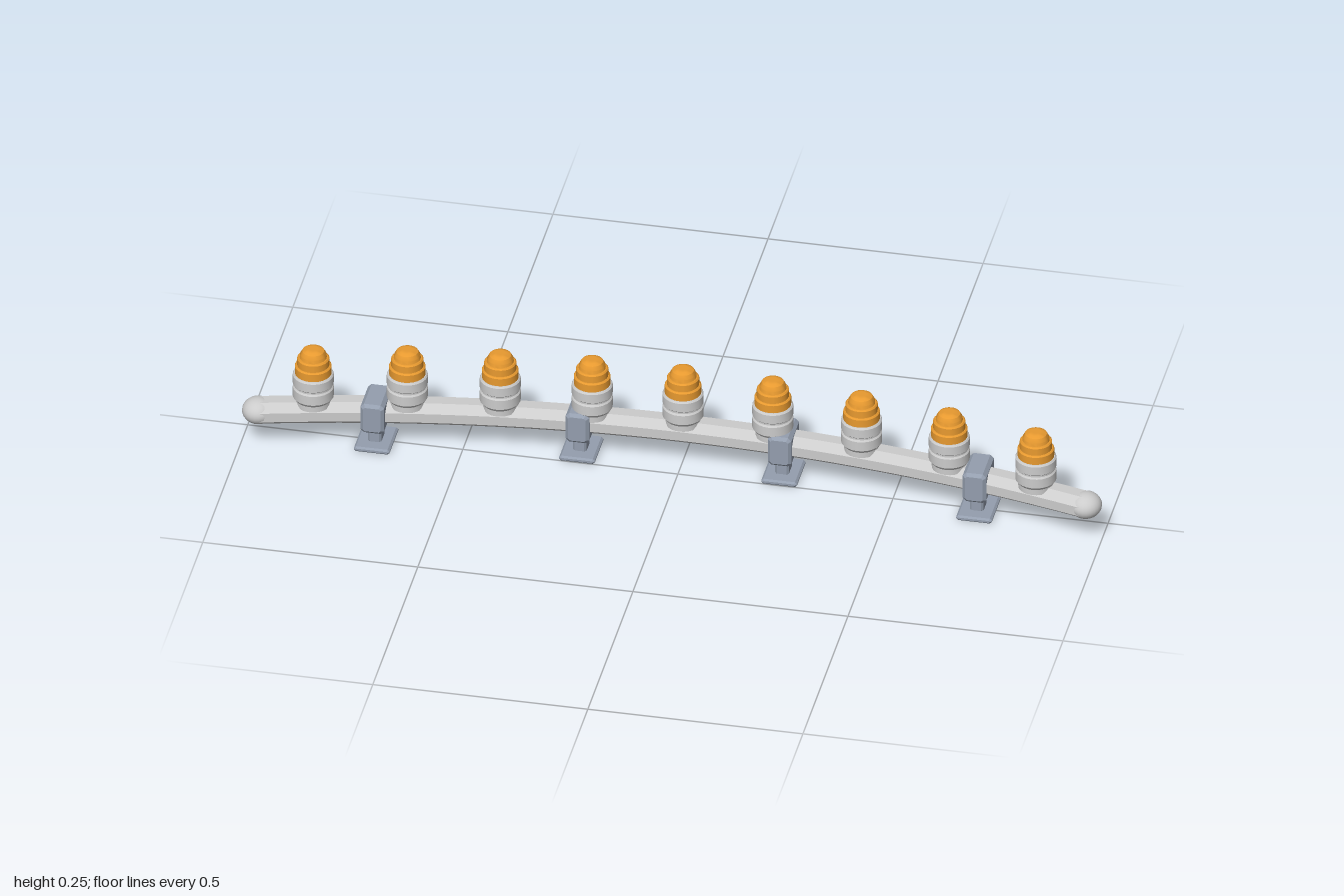
import * as THREE from 'three';
import { toCreasedNormals } from 'three/addons/utils/BufferGeometryUtils.js';

const BAR_Y = 0.088, END_X = 0.962, RY = 0.0305, RZ = 0.038;
const arcZ = (x) => -0.057 + 0.133 * x * x; // gentle forward sweep of the bar

const grey = new THREE.MeshStandardMaterial({ color: 0xcccccc });
const amber = new THREE.MeshStandardMaterial({ color: 0xe89a30 });
const steel = new THREE.MeshStandardMaterial({ color: 0x949eae });

function part(name, geometry, material, x = 0, y = 0, z = 0) {
  const mesh = new THREE.Mesh(geometry, material);
  mesh.name = name;
  mesh.position.set(x, y, z);
  return mesh;
}

// Box with all edges chamfered by c, centred on the origin
function chamferBox(w, h, d, c) {
  const a = w / 2 - c, b = h / 2 - c, k = c * 0.6;
  const shape = new THREE.Shape([
    [a - k, -b], [a, -b + k], [a, b - k], [a - k, b],
    [-a + k, b], [-a, b - k], [-a, -b + k], [-a + k, -b],
  ].map(([x, y]) => new THREE.Vector2(x, y)));
  const g = new THREE.ExtrudeGeometry(shape, {
    depth: d - 2 * c, bevelEnabled: true, bevelThickness: c, bevelSize: c, bevelSegments: 1,
  });
  g.translate(0, 0, -d / 2 + c);
  return toCreasedNormals(g, 0.3);
}

// Octagonal section swept along the arc
function barGeometry() {
  const sides = 8, steps = 32, pos = [], index = [];
  for (let i = 0; i <= steps; i++) {
    const x = THREE.MathUtils.lerp(-END_X, END_X, i / steps);
    const yaw = Math.atan(0.266 * x);
    for (let j = 0; j < sides; j++) {
      const t = ((j + 0.5) / sides) * Math.PI * 2;
      const out = RZ * Math.cos(t);
      pos.push(x - out * Math.sin(yaw), BAR_Y + RY * Math.sin(t), arcZ(x) + out * Math.cos(yaw));
      if (i < steps) {
        const a = i * sides + j, b = i * sides + ((j + 1) % sides);
        index.push(a, a + sides, b, b, a + sides, b + sides);
      }
    }
  }
  const g = new THREE.BufferGeometry();
  g.setAttribute('position', new THREE.Float32BufferAttribute(pos, 3));
  g.setIndex(index);
  return toCreasedNormals(g, 0.4);
}

function lathe(points) {
  const g = new THREE.LatheGeometry(points.map(([r, y]) => new THREE.Vector2(r, y)), 24);
  return toCreasedNormals(g, 0.5);
}

export function createModel() {
  const model = new THREE.Group();
  model.name = 'lampBar';

  // Curved bar with rounded ends
  const bar = part('bar', barGeometry(), grey);
  bar.material = grey.clone();
  bar.material.side = THREE.DoubleSide;
  model.add(bar);
  const capGeo = new THREE.SphereGeometry(1, 24, 16);
  for (const s of [-1, 1]) {
    const cap = part('barEnd', capGeo, grey, s * END_X, BAR_Y, arcZ(END_X));
    cap.scale.set(0.037, RY, RZ);
    cap.rotation.y = -s * Math.atan(0.266 * END_X);
    model.add(cap);
  }

  // Nine lamps: grooved socket and stepped amber lens
  const socketGeo = lathe([
    [0, 0.105], [0.041, 0.105], [0.041, 0.119], [0.047, 0.127], [0.047, 0.151], [0.044, 0.155],
    [0.044, 0.159], [0.047, 0.162], [0.047, 0.184], [0.044, 0.188], [0, 0.188],
  ]);
  const lensGeo = lathe([
    [0.042, 0.186], [0.042, 0.207], [0.039, 0.21], [0.037, 0.21], [0.037, 0.227], [0.034, 0.23],
    [0.031, 0.23], [0.030, 0.238], [0.025, 0.247], [0.018, 0.251], [0.010, 0.253], [0, 0.253],
  ]);
  for (let i = -4; i <= 4; i++) {
    const lamp = new THREE.Group();
    lamp.name = 'lamp';
    lamp.position.set(i * 0.21, 0, arcZ(i * 0.21));
    lamp.add(part('lampSocket', socketGeo, grey), part('lampLens', lensGeo, amber));
    model.add(lamp);
  }

  // Four stands: collar round the bar, post, foot plate and rear bolt
  const collarGeo = chamferBox(0.055, 0.077, 0.098, 0.007);
  const postGeo = chamferBox(0.032, 0.052, 0.042, 0.005);
  const footGeo = chamferBox(0.083, 0.013, 0.104, 0.004);
  const boltGeo = toCreasedNormals(new THREE.CylinderGeometry(0.007, 0.007, 0.012, 6), 0.3);
  boltGeo.rotateX(Math.PI / 2);
  for (const x of [-0.7, -0.235, 0.235, 0.7]) {
    const stand = new THREE.Group();
    stand.name = 'stand';
    stand.position.set(x, 0, arcZ(x));
    stand.add(
      part('collar', collarGeo, steel, 0, 0.0885, 0),
      part('post', postGeo, steel, 0, 0.032, 0),
      part('footPlate', footGeo, steel, 0, 0.0065, 0),
      part('bolt', boltGeo, grey, 0, 0.089, -0.049),
    );
    model.add(stand);
  }
  return model;
}
